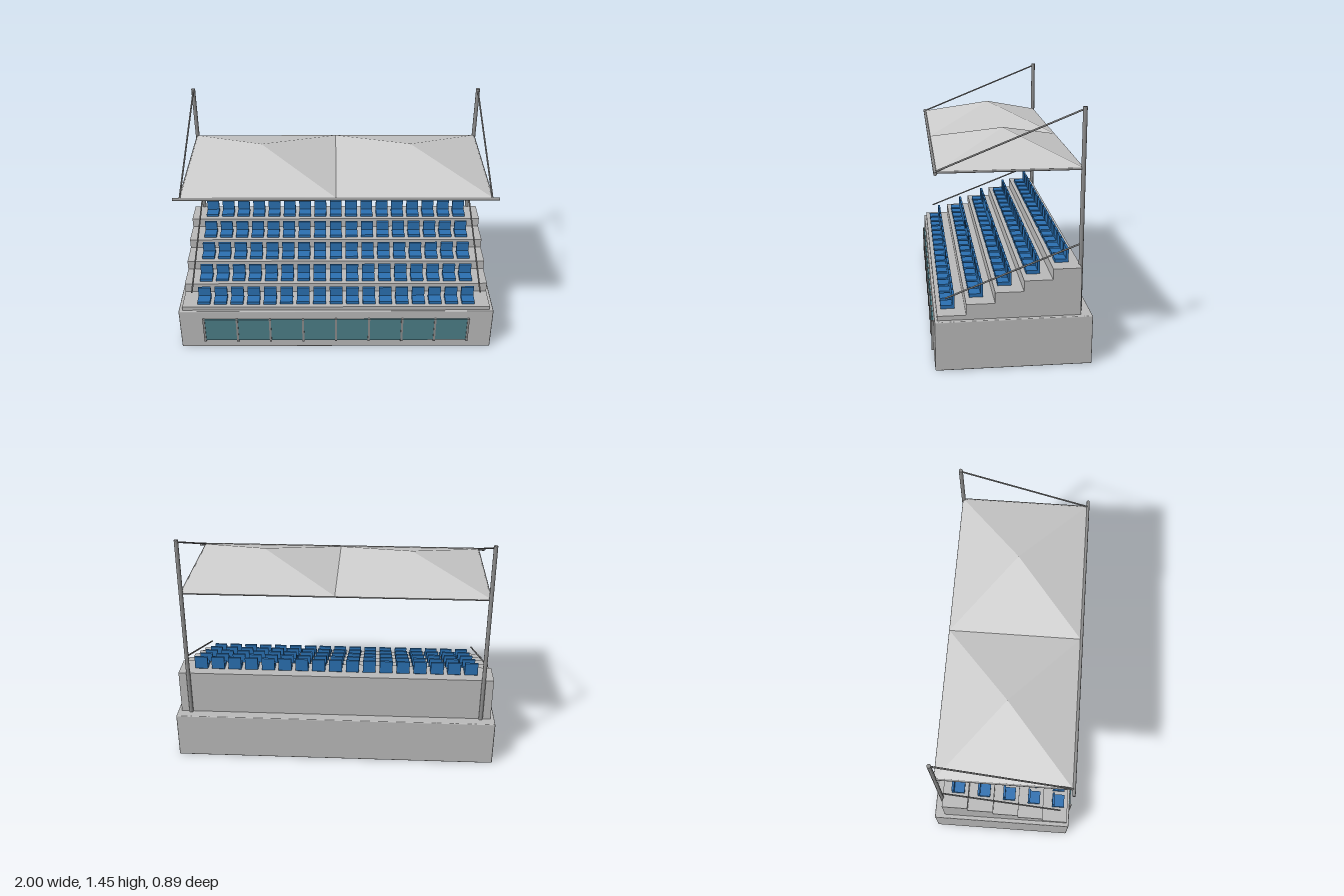
import * as THREE from 'three';
import { RoundedBoxGeometry } from 'three/addons/geometries/RoundedBoxGeometry.js';

const mat = (name, color, extra = {}) => {
  const m = new THREE.MeshStandardMaterial({ color, ...extra });
  m.name = name;
  return m;
};

export function createModel() {
  const concrete = mat('concrete', 0xb9b9b9);
  const seatBlue = mat('seatBlue', 0x2a6fb0);
  const glass = mat('glass', 0x4c7d87);
  const metal = mat('metal', 0x8c8c8c);
  const fabric = mat('fabric', 0xcbcbcb, { side: THREE.DoubleSide, flatShading: true });

  const model = new THREE.Group();
  model.name = 'grandstand';

  const add = (name, geometry, material, x = 0, y = 0, z = 0, parent = model) => {
    const mesh = new THREE.Mesh(geometry, material);
    mesh.name = name;
    mesh.position.set(x, y, z);
    parent.add(mesh);
    return mesh;
  };

  // Round bar between two points
  const bar = (name, a, b, radius) => {
    const from = new THREE.Vector3(...a), to = new THREE.Vector3(...b);
    const dir = to.clone().sub(from);
    const mesh = add(name, new THREE.CylinderGeometry(radius, radius, dir.length(), 10), metal);
    mesh.position.copy(from).add(to).multiplyScalar(0.5);
    mesh.quaternion.setFromUnitVectors(new THREE.Vector3(0, 1, 0), dir.normalize());
    return mesh;
  };

  // Base building with slightly eased edges
  add('base', new RoundedBoxGeometry(2, 0.29, 0.88, 1, 0.006), concrete, 0, 0.145, -0.005);

  // Window band and mullions
  add('windowBand', new THREE.BoxGeometry(1.7, 0.17, 0.008), glass, 0, 0.145, 0.439);
  for (let i = 0; i < 9; i++) {
    const x = -0.844 + i * 0.211;
    add('mullion', new THREE.BoxGeometry(0.013, 0.18, 0.016), metal, x, 0.145, 0.442);
  }

  // L-shaped seat profile: x runs forwards, y up, extruded across the width
  const profile = new THREE.Shape();
  profile.moveTo(0.002, 0);
  profile.lineTo(0.078, 0);
  profile.lineTo(0.078, 0.02);
  profile.lineTo(0.014, 0.02);
  profile.lineTo(0.014, 0.081);
  profile.lineTo(0, 0.081);
  profile.lineTo(0, 0.002);
  profile.closePath();
  const seatGeometry = new THREE.ExtrudeGeometry(profile, { depth: 0.08, bevelEnabled: false });
  seatGeometry.translate(0, 0, -0.04);
  seatGeometry.rotateY(-Math.PI / 2);

  // Terraces with their rows of seats
  for (let row = 0; row < 5; row++) {
    const top = 0.316 + row * 0.0625;
    const front = 0.42 - row * 0.16;
    add('terrace', new THREE.BoxGeometry(1.95, top - 0.29, 0.16), concrete,
      0, (top + 0.29) / 2, front - 0.08);
    const seats = new THREE.Group();
    seats.name = 'seatRow';
    model.add(seats);
    for (let i = 0; i < 17; i++) {
      add('seat', seatGeometry, seatBlue, (i - 8) * 0.105, top + 0.002, front - 0.102, seats);
    }
  }

  // Masts, stays, handrails and canopy side beams
  for (const side of [-1, 1]) {
    const x = side * 0.913;
    bar('mast', [x, 0.29, -0.385], [x, 1.45, -0.385], 0.0125);
    bar('stay', [x, 1.435, -0.378], [x, 1.117, 0.412], 0.005);
    bar('handrail', [x, 0.394, 0.372], [x, 0.685, -0.378], 0.005);
    bar('canopySideBeam', [x, 1.112, -0.385], [x, 1.112, 0.412], 0.007);
  }
  bar('canopyFrontBeam', [-0.955, 1.113, 0.414], [0.955, 1.113, 0.414], 0.0095);
  bar('canopyRearBeam', [-0.913, 1.112, -0.385], [0.913, 1.112, -0.385], 0.005);

  // Canopy: two four-sided fabric peaks
  for (const side of [-1, 1]) {
    const apex = [side * 0.458, 1.257, 0];
    const x0 = side < 0 ? -0.915 : 0, x1 = side < 0 ? 0 : 0.915;
    const y = 1.117, back = -0.387, front = 0.408;
    const ring = [[x0, y, front], [x1, y, front], [x1, y, back], [x0, y, back]];
    const points = ring.flatMap((p, i) => [...p, ...ring[(i + 1) % 4], ...apex]);
    const geometry = new THREE.BufferGeometry();
    geometry.setAttribute('position', new THREE.Float32BufferAttribute(points, 3));
    geometry.computeVertexNormals();
    add('canopyPeak', geometry, fabric);
  }

  return model;
}
